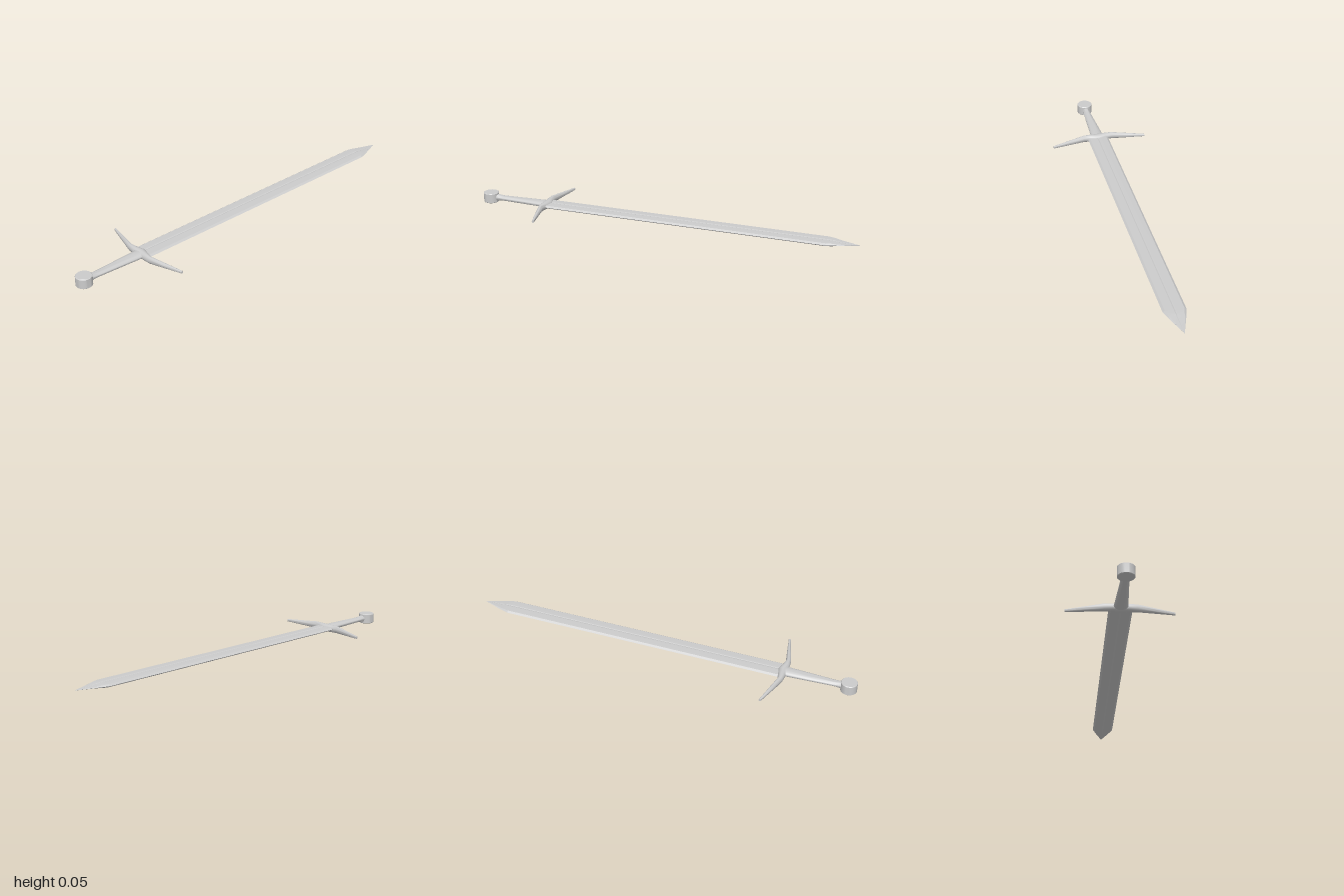
import * as THREE from 'three';
import { toCreasedNormals } from 'three/addons/utils/BufferGeometryUtils.js';

const MID = 0.026; // height of the sword's middle plane
const material = new THREE.MeshStandardMaterial({ color: 0xcccccc });

// Skin a row of equal-length rings of [x, y, z] points and cap both ends.
function loft(rings, crease) {
  const n = rings[0].length;
  const points = rings.flat();
  const index = [];
  for (let r = 0; r < rings.length - 1; r++) {
    for (let i = 0; i < n; i++) {
      const a = r * n + i, b = r * n + (i + 1) % n;
      index.push(a, b, b + n, a, b + n, a + n);
    }
  }
  [0, rings.length - 1].forEach((r, end) => {
    const ring = rings[r];
    const centre = points.length;
    points.push([0, 1, 2].map(k => ring.reduce((s, p) => s + p[k], 0) / n));
    for (let i = 0; i < n; i++) {
      const a = r * n + i, b = r * n + (i + 1) % n;
      if (end) index.push(centre, a, b);
      else index.push(centre, b, a);
    }
  });
  const geometry = new THREE.BufferGeometry();
  geometry.setAttribute('position', new THREE.Float32BufferAttribute(points.flat(), 3));
  geometry.setIndex(index);
  return toCreasedNormals(geometry, crease);
}

function ellipse(count) {
  return Array.from({ length: count }, (_, i) => {
    const a = i / count * Math.PI * 2;
    return [Math.cos(a), Math.sin(a)];
  });
}

function part(name, geometry) {
  const mesh = new THREE.Mesh(geometry, material);
  mesh.name = name;
  return mesh;
}

export function createModel() {
  const sword = new THREE.Group();
  sword.name = 'sword';

  // Blade: bevelled edges, nearly flat faces and a narrow central groove
  const quarter = [[1, 0], [0.82, 0.8], [0.1, 1], [0, 0.8]];
  const section = [
    ...quarter,
    ...quarter.slice(0, 3).reverse().map(([x, y]) => [-x, y]),
    ...quarter.slice(1).map(([x, y]) => [-x, -y]),
    ...quarter.slice(1, 3).reverse().map(([x, y]) => [x, -y]),
  ];
  const bladeRings = [ // z, half width, half thickness
    [-1, 0.0005, 0.0005], [-0.905, 0.036, 0.004], [-0.875, 0.046, 0.008],
    [-0.845, 0.055, 0.009], [0.635, 0.055, 0.009],
  ].map(([z, w, h]) => section.map(([x, y]) => [x * w, MID + y * h, z]));
  sword.add(part('blade', loft(bladeRings, 0.1)));

  // Crossguard: round section, arms swept toward the blade and tapering
  const arm = [ // x, z, half height, half depth
    [0, 0.631, 0.02, 0.024], [0.04, 0.636, 0.0195, 0.018], [0.075, 0.638, 0.019, 0.013],
    [0.16, 0.617, 0.013, 0.01], [0.253, 0.594, 0.007, 0.006],
  ];
  const stations = [...arm.slice(1).reverse().map(([x, ...rest]) => [-x, ...rest]), ...arm];
  const guardRings = stations.map(([x, z, h, d]) =>
    ellipse(16).map(([c, s]) => [x, MID + c * h, z + s * d]));
  sword.add(part('crossguard', loft(guardRings, 0.7)));

  // Grip: oval, narrowing to the pommel, with a small flare where they meet
  const gripRings = [ // z, half width, half thickness
    [0.64, 0.034, 0.016], [0.76, 0.027, 0.0145], [0.885, 0.02, 0.013],
    [0.91, 0.0185, 0.016], [0.935, 0.018, 0.021],
  ].map(([z, w, h]) => ellipse(20).map(([c, s]) => [c * w, MID + s * h, z]));
  sword.add(part('grip', loft(gripRings, 0.7)));

  // Pommel: upright disc with softened rims
  const rim = [[0, 0], [0.037, 0], [0.04, 0.003], [0.04, 0.049], [0.037, 0.052], [0, 0.052]];
  const pommel = part('pommel', toCreasedNormals(
    new THREE.LatheGeometry(rim.map(p => new THREE.Vector2(...p)), 32), 0.6));
  pommel.position.z = 0.96;
  sword.add(pommel);

  return sword;
}
